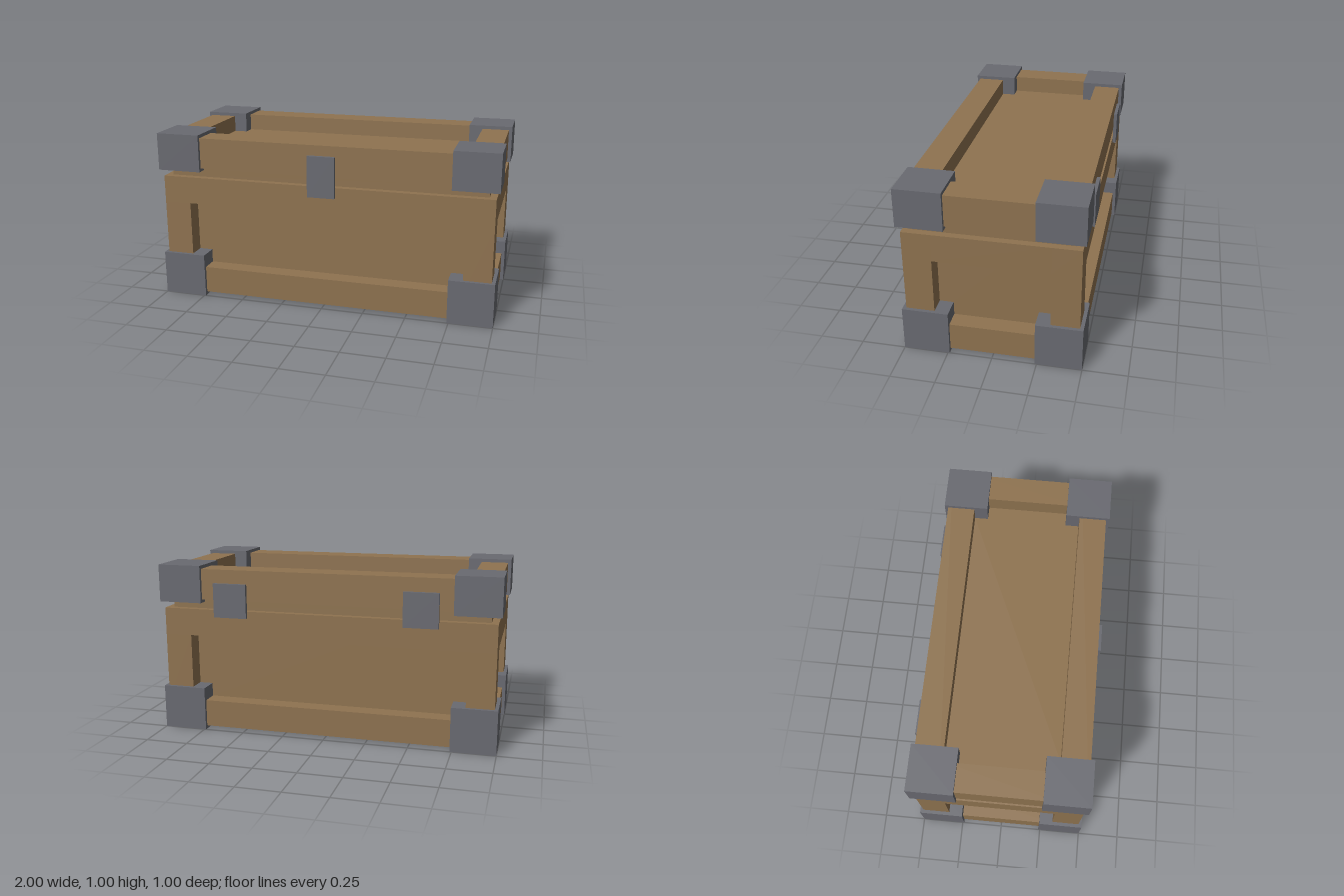
import * as THREE from 'three';

export function createModel() {
  const chest = new THREE.Group();
  chest.name = 'chest';

  const wood = new THREE.MeshStandardMaterial({ color: 0x8f7350 });
  wood.name = 'wood';
  const iron = new THREE.MeshStandardMaterial({ color: 0x696a71 });
  iron.name = 'iron';

  // Box given by its lower and upper corner
  function box(name, material, [x0, y0, z0], [x1, y1, z1], parent = chest) {
    const geometry = new THREE.BoxGeometry(x1 - x0, y1 - y0, z1 - z0);
    const mesh = new THREE.Mesh(geometry, material);
    mesh.position.set((x0 + x1) / 2, (y0 + y1) / 2, (z0 + z1) / 2);
    mesh.name = name;
    parent.add(mesh);
  }

  // Rectangular ring of four beams
  function beamRing(name, y0, y1) {
    const ring = new THREE.Group();
    ring.name = name;
    for (const s of [-1, 1]) {
      box('longBeam', wood, [-0.98, y0, s * 0.4 - 0.08], [0.98, y1, s * 0.4 + 0.08], ring);
      box('shortBeam', wood, [s * 0.9 - 0.08, y0, -0.32], [s * 0.9 + 0.08, y1, 0.32], ring);
    }
    chest.add(ring);
  }

  // Recessed panels and the seam under the lid
  box('panels', wood, [-0.88, 0.12, -0.38], [0.88, 0.88, 0.38]);
  box('seam', wood, [-0.94, 0.74, -0.44], [0.94, 0.8, 0.44]);

  // Frame of the base and the lid
  beamRing('bottomFrame', 0.02, 0.18);
  beamRing('upperFrame', 0.58, 0.74);
  beamRing('lidFrame', 0.8, 0.98);

  // Corner posts and iron corner blocks
  for (const sx of [-1, 1]) {
    for (const sz of [-1, 1]) {
      const x = sx * 0.87, z = sz * 0.37;
      box('cornerPost', wood, [sx * 0.9 - 0.08, 0.18, sz * 0.4 - 0.08], [sx * 0.9 + 0.08, 0.58, sz * 0.4 + 0.08]);
      box('lowerCorner', iron, [x - 0.13, 0, z - 0.13], [x + 0.13, 0.26, z + 0.13]);
      box('upperCorner', iron, [x - 0.13, 0.78, z - 0.13], [x + 0.13, 1, z + 0.13]);
    }
  }

  // Latch in front, two hinges behind
  box('latch', iron, [-0.08, 0.68, 0.48], [0.08, 0.92, 0.5]);
  for (const s of [-1, 1]) {
    box('hinge', iron, [s * 0.56 - 0.1, 0.7, -0.5], [s * 0.56 + 0.1, 0.9, -0.48]);
  }

  return chest;
}
